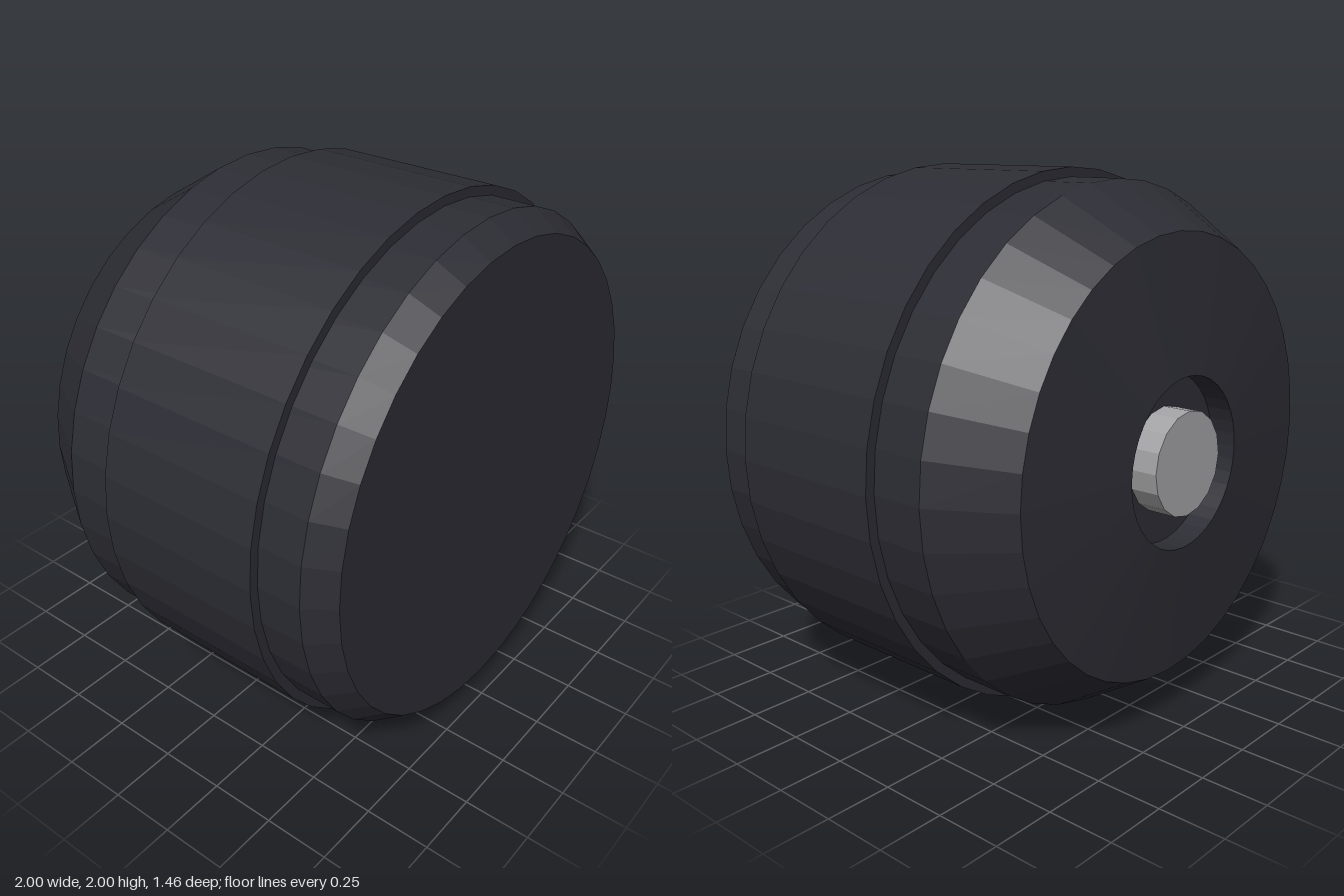
import * as THREE from 'three';

const rubber = new THREE.MeshStandardMaterial({ color: 0x2c2c34, flatShading: true });
rubber.name = 'dark rubber';
const metal = new THREE.MeshStandardMaterial({ color: 0xa2a2a4, flatShading: true });
metal.name = 'grey metal';

// Turns a [radius, z] profile, listed from back to front, around the z axis.
function turned(name, profile, sides, material) {
  const points = profile.map(([r, z]) => new THREE.Vector2(r, z));
  const geometry = new THREE.LatheGeometry(points, sides);
  geometry.rotateX(Math.PI / 2);
  const mesh = new THREE.Mesh(geometry, material);
  mesh.name = name;
  mesh.position.y = 1;
  return mesh;
}

export function createModel() {
  const group = new THREE.Group();
  group.name = 'roundedDrum';

  // Drum with a recessed back socket, sloping shoulders and a flat front
  group.add(turned('drumBody', [
    [0, -0.62], [0.31, -0.62], [0.31, -0.72], [0.8, -0.67], [0.965, -0.4],
    [0.965, 0.63], [0.895, 0.73], [0, 0.73],
  ], 40, rubber));

  // Raised band around the middle
  group.add(turned('raisedBand', [
    [0.965, -0.19], [1, -0.19], [1, 0.46], [0.965, 0.46],
  ], 40, rubber));

  // Metal pin standing in the socket
  group.add(turned('socketPin', [
    [0, -0.73], [0.19, -0.73], [0.19, -0.62],
  ], 16, metal));

  return group;
}
